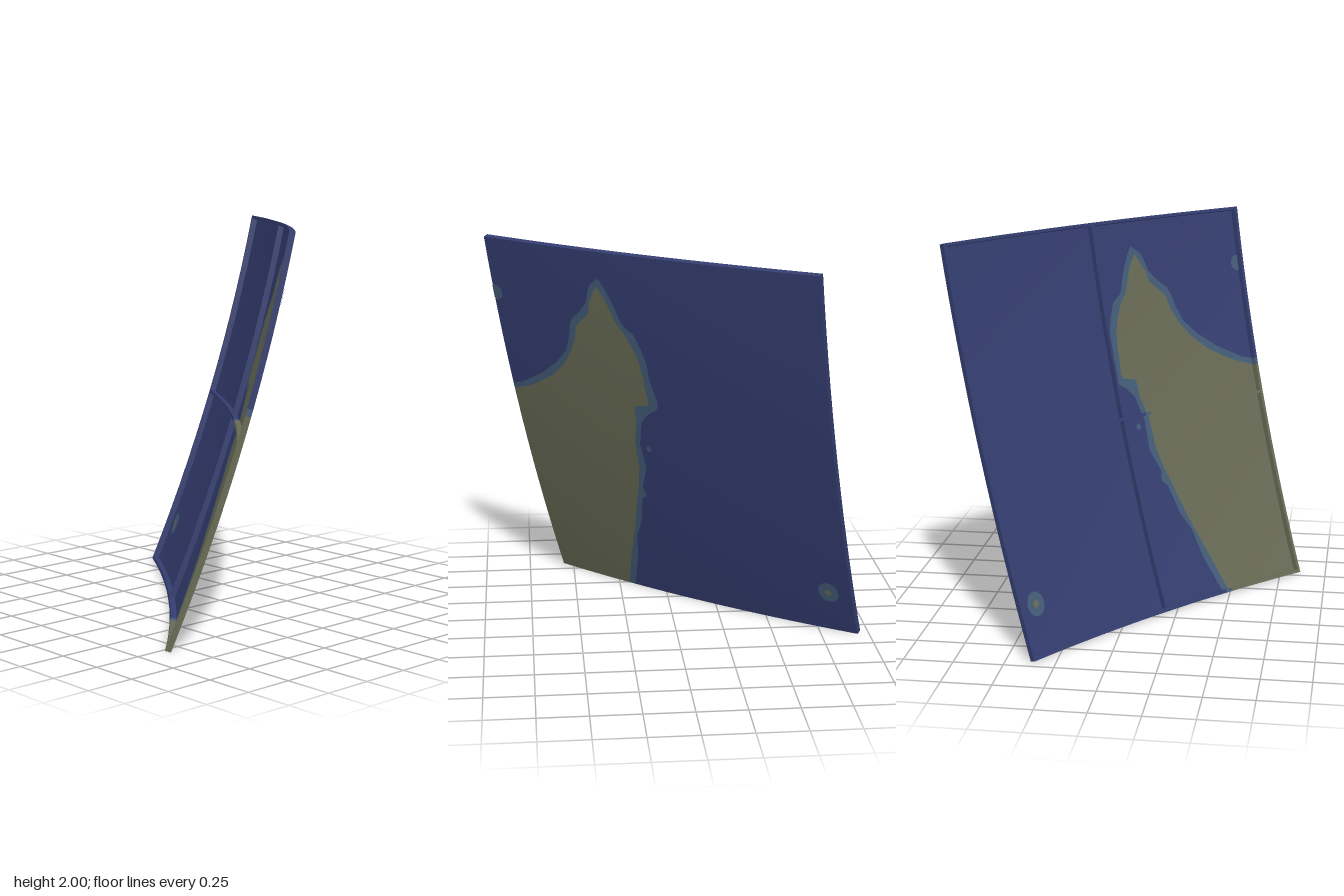
import * as THREE from 'three';

const H = 1.99;                                    // panel height
const BL = [-0.94, -0.375], BR = [0.555, 0.84];    // corner x, z at the bottom
const TL = [-0.61, -0.86], TR = [0.955, 0.42];     // corner x, z at the top
const INWARD = new THREE.Vector3(-0.61, 0.28, 0.745).normalize();
const lerp = THREE.MathUtils.lerp;
const clamp = THREE.MathUtils.clamp;

// Coast outline by height: y, shallows left, land left, land right, shallows right (x values)
const COAST = [
  [0, 0.165, 0.195, 9, 9],
  [0.2, 0.155, 0.19, 9, 9],
  [0.35, 0.165, 0.18, 9, 9],
  [0.45, 0.145, 0.175, 9, 9],
  [0.6, 0.145, 0.17, 9, 9],
  [0.63, 0.125, 0.17, 9, 9],
  [0.68, 0.145, 0.165, 9, 9],
  [0.8, 0.13, 0.165, 9, 9],
  [0.95, 0.165, 0.19, 9, 9],
  [1.08, 0.16, 0.185, 9, 9],
  [1.13, 0.13, 0.195, 0.81, 9],
  [1.165, 0.09, 0.195, 0.735, 0.815],
  [1.18, 0.085, 0.135, 0.71, 0.77],
  [1.21, 0.085, 0.13, 0.67, 0.73],
  [1.26, 0.105, 0.145, 0.61, 0.665],
  [1.34, 0.13, 0.16, 0.55, 0.59],
  [1.42, 0.145, 0.18, 0.515, 0.54],
  [1.5, 0.175, 0.215, 0.495, 0.525],
  [1.57, 0.21, 0.255, 0.49, 0.52],
  [1.61, 0.26, 0.29, 0.46, 0.51],
  [1.65, 0.28, 0.31, 0.43, 0.475],
  [1.71, 0.305, 0.335, 0.425, 0.44],
  [1.76, 0.33, 0.36, 0.41, 0.435],
  [1.805, 0.355, 0.395, 0.395, 0.425],
  [1.85, 0.385, 0.385, 0.385, 0.385],
];

// Point on the bowed panel; u runs across, v up, d is the height above the concave side
function point(u, v, d = 0) {
  const bow = 0.22 * u * (1 - u) + 0.2 * v * (1 - v);
  const x = lerp(lerp(BL[0], BR[0], u), lerp(TL[0], TR[0], u), v) + 0.63 * bow;
  const z = lerp(lerp(BL[1], BR[1], u), lerp(TL[1], TR[1], u), v) - 0.77 * bow;
  return new THREE.Vector3(x, v * H, z).addScaledVector(INWARD, d);
}

// Find u for a given x at height v
function uAt(x, v) {
  let lo = 0, hi = 1;
  for (let i = 0; i < 24; i++) {
    const mid = (lo + hi) / 2;
    if (point(mid, v).x < x) lo = mid; else hi = mid;
  }
  return x > 5 ? 1 : (lo + hi) / 2;
}

// The six u borders of the colour strips at height v
function borders(v) {
  const y = clamp(v * H, 0, 1.85);
  let i = 0;
  while (i < COAST.length - 2 && COAST[i + 1][0] < y) i++;
  const a = COAST[i], b = COAST[i + 1], t = (y - a[0]) / (b[0] - a[0]);
  const inner = [1, 2, 3, 4].map((k) => lerp(uAt(a[k], v), uAt(b[k], v), t));
  return [0, ...inner, 1];
}

// Grid surface from f(column, row), leaving out empty cells
function sheet(f, cols, rows) {
  const pts = [], index = [];
  for (let j = 0; j <= rows; j++) for (let i = 0; i <= cols; i++) pts.push(f(i, j));
  for (let j = 0; j < rows; j++) for (let i = 0; i < cols; i++) {
    const a = j * (cols + 1) + i, b = a + 1, c = a + cols + 1, d = c + 1;
    if (pts[a].distanceTo(pts[b]) > 1e-5) index.push(a, b, d);
    if (pts[c].distanceTo(pts[d]) > 1e-5) index.push(a, d, c);
  }
  const g = new THREE.BufferGeometry().setFromPoints(pts);
  g.setIndex(index);
  g.computeVertexNormals();
  return g;
}

export function createModel() {
  const group = new THREE.Group();
  const material = (name, color) => {
    const m = new THREE.MeshStandardMaterial({ color, side: THREE.DoubleSide });
    m.name = name;
    return m;
  };
  const sea = material('seaBlue', 0x343d70);
  const shallows = material('shallowsSlate', 0x435c78);
  const land = material('landOlive', 0x676a54);
  const strips = [sea, shallows, land, shallows, sea];
  const names = ['seaWest', 'shallowsWest', 'land', 'shallowsEast', 'seaEast'];

  const add = (name, geometry, mat) => {
    const mesh = new THREE.Mesh(geometry, mat);
    mesh.name = name;
    group.add(mesh);
  };

  // Curved panel, lofted row by row between the coast lines
  const rows = COAST.map((r) => r[0] / H);
  for (let k = 0; k <= 40; k++) rows.push(k / 40);
  rows.sort((a, b) => a - b);
  const levels = rows.filter((v, i) => i === 0 || v - rows[i - 1] > 1e-4);
  const edges = levels.map(borders);
  strips.forEach((mat, k) => {
    const n = 12;
    add(names[k], sheet((i, j) =>
      point(lerp(edges[j][k], edges[j][k + 1], i / n), levels[j]), n, levels.length - 1), mat);
  });

  // Raised ribs on the concave side
  const W = 0.004, RISE = 0.03;
  const section = [[-W, 0], [-W, RISE], [W, RISE], [W, 0]];
  const rib = (name, mat, from, to, place) => {
    if (to - from < 1e-3) return;
    const g = sheet((i, j) => {
      const [s, d] = section[i];
      return place(lerp(from, to, j / 14), s, d);
    }, 3, 14).toNonIndexed();
    g.computeVertexNormals();
    add(name, g, mat);
  };
  for (const c of [W, 0.494, 1 - W]) {
    const place = (t, s, d) => point(c + s, t, d);
    const cuts = c > 0.9 ? [0, 1.13 / H, 1.165 / H, 1] : [0, 0, 0, 1];
    [land, shallows, sea].forEach((mat, k) => rib('uprightRib', mat, cuts[k], cuts[k + 1], place));
  }
  for (const c of [W, 0.493, 1 - W]) {
    const cuts = borders(c);
    strips.forEach((mat, k) =>
      rib('crossRib', mat, cuts[k], cuts[k + 1], (t, s, d) => point(t, c + s, d)));
  }

  // Small islands, repeated on both faces
  const spot = (name, x, y, r, mat, lift) => {
    const v0 = y / H, u0 = uAt(x, v0);
    for (const side of [1, -1]) {
      add(name, sheet((i, j) => {
        const a = (i / 20) * Math.PI * 2, q = (r * j) / 2;
        return point(Math.min(1, u0 + q * Math.cos(a)), v0 + q * Math.sin(a), side * lift);
      }, 20, 2), mat);
    }
  };
  spot('westIslandShallows', -0.78, 0.24, 0.029, shallows, 0.003);
  spot('westIsland', -0.78, 0.24, 0.009, land, 0.005);
  spot('eastIslandShallows', 0.895, 1.69, 0.021, shallows, 0.003);
  spot('coastIslet', 0.12, 0.925, 0.008, shallows, 0.003);

  return group;
}
